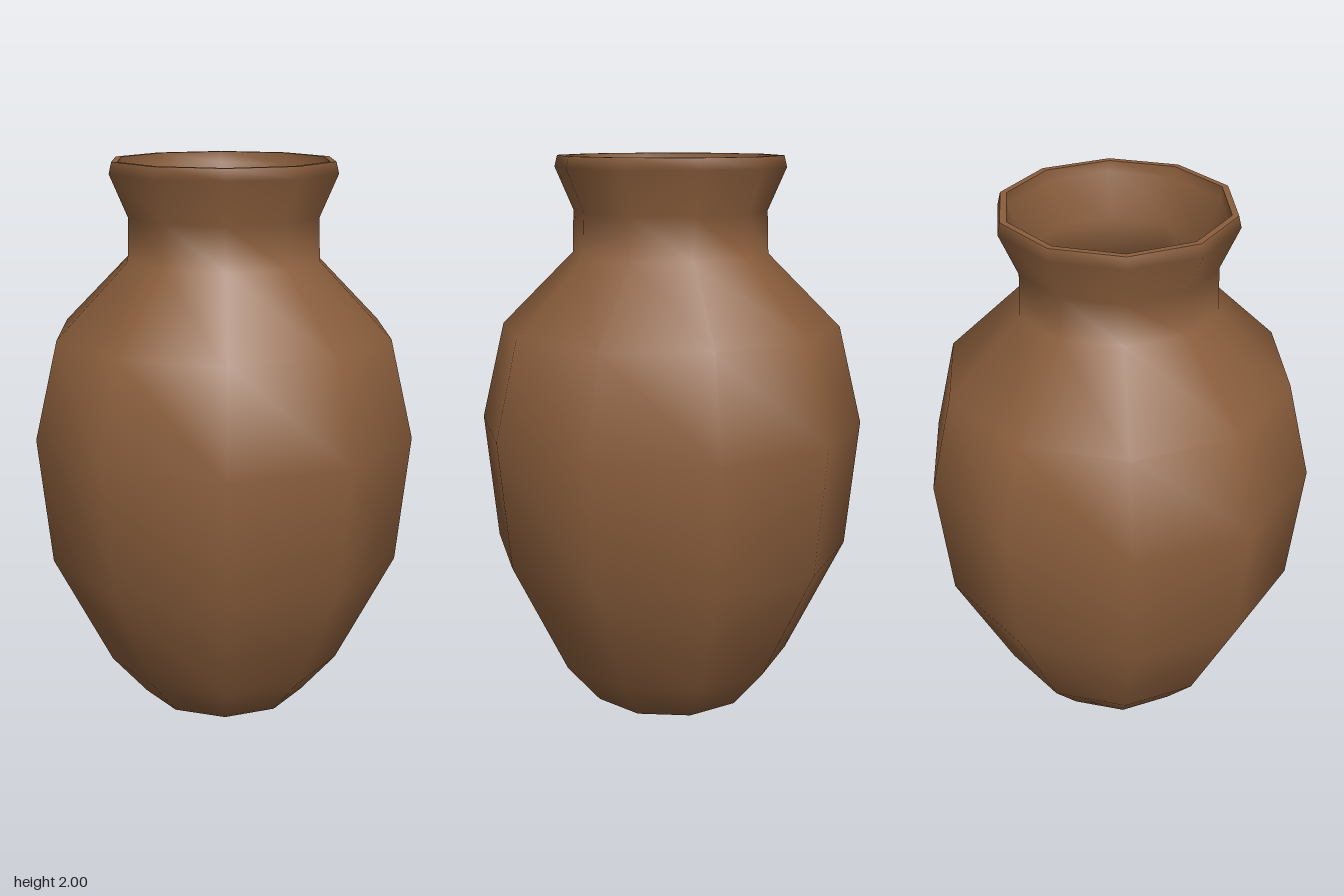
import * as THREE from 'three';

const SIDES = 10;

export function createModel() {
  const group = new THREE.Group();
  group.name = 'vase';
  const clay = new THREE.MeshStandardMaterial({ color: 0x8b5e3c });
  clay.name = 'brown clay';

  // Ten-sided smooth revolution with a corner on the x axis
  const turn = (name, profile) => {
    const points = profile.map(([r, y]) => new THREE.Vector2(r, y));
    const mesh = new THREE.Mesh(new THREE.LatheGeometry(points, SIDES, Math.PI / 2), clay);
    mesh.name = name;
    group.add(mesh);
  };

  // Foot, belly, shoulder, neck and flared mouth
  turn('outerWall', [
    [0, 0], [0.31, 0.01], [0.44, 0.165], [0.65, 0.59], [0.695, 1.05],
    [0.61, 1.4], [0.35, 1.66], [0.345, 1.81], [0.41, 1.96], [0.4, 2],
  ]);

  // Flat lip with its own crisp edges
  turn('lip', [[0.4, 2], [0.378, 2]]);

  // Hollow inside, following the outer wall down to the floor
  turn('innerWall', [
    [0.378, 2], [0.375, 1.96], [0.32, 1.81], [0.32, 1.65], [0.58, 1.39],
    [0.665, 1.05], [0.62, 0.6], [0.41, 0.18], [0.29, 0.04], [0, 0.03],
  ]);

  return group;
}
